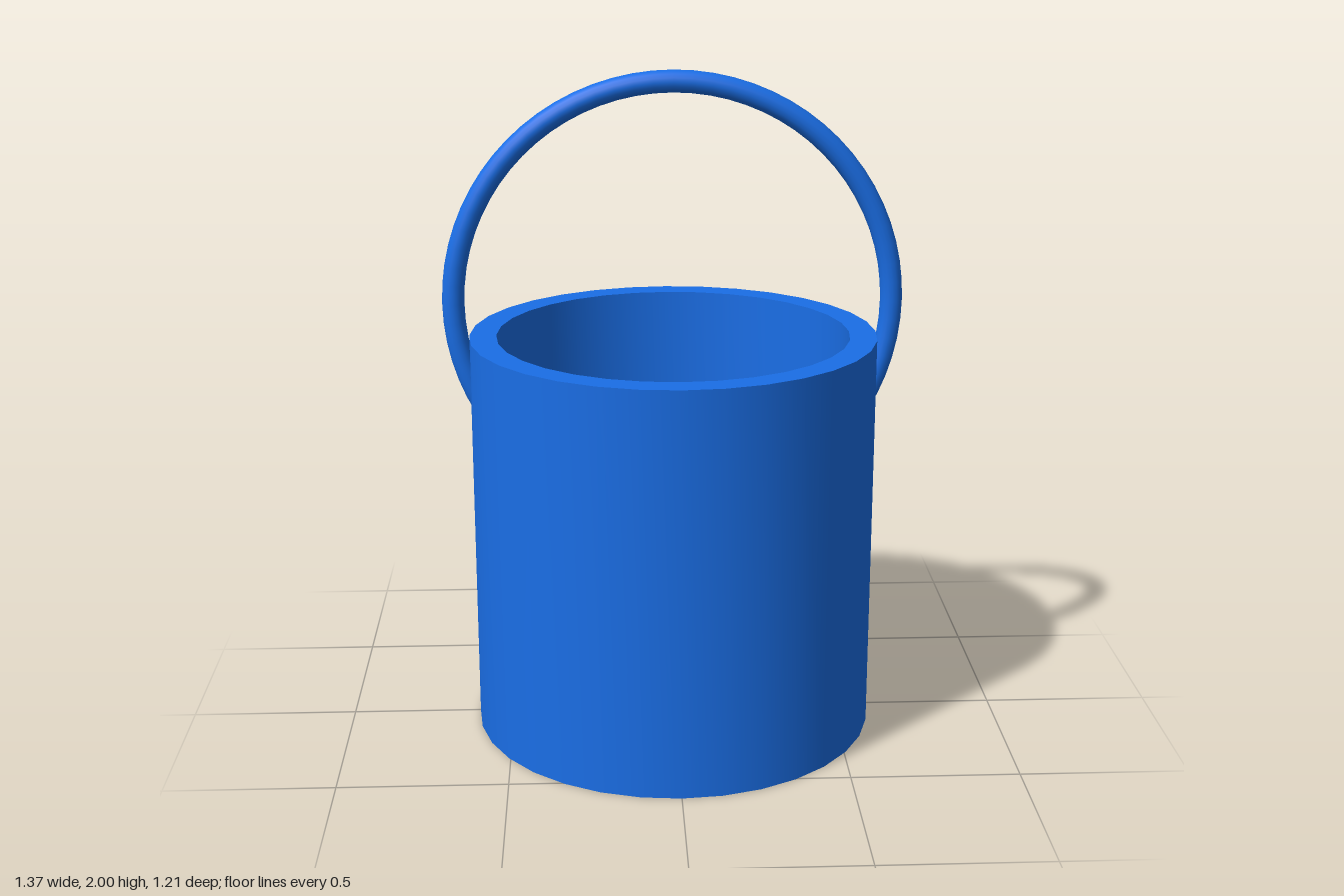
import * as THREE from 'three';
import { toCreasedNormals } from 'three/addons/utils/BufferGeometryUtils.js';

const OUTER = 0.607, INNER = 0.527, HEIGHT = 1.22, FLOOR = 0.08;
const TUBE = 0.033, HOOP = 0.652;

export function createModel() {
  const group = new THREE.Group();
  const blue = new THREE.MeshStandardMaterial({ color: 0x1a6ee6 });

  // Straight-walled bucket: underside, outer wall, flat rim, inner wall, floor
  const profile = [
    [0, 0], [OUTER, 0], [OUTER, HEIGHT], [INNER, HEIGHT], [INNER, FLOOR], [0, FLOOR],
  ].map(([x, y]) => new THREE.Vector2(x, y));
  const bucket = new THREE.Mesh(
    toCreasedNormals(new THREE.LatheGeometry(profile, 32), 0.6), blue);
  bucket.name = 'bucket';
  group.add(bucket);

  // Hoop handle passing through both walls
  const handle = new THREE.Mesh(new THREE.TorusGeometry(HOOP, TUBE, 16, 72), blue);
  handle.name = 'handle';
  handle.position.set(0, 2 - HOOP - TUBE, -0.013);
  group.add(handle);

  return group;
}
